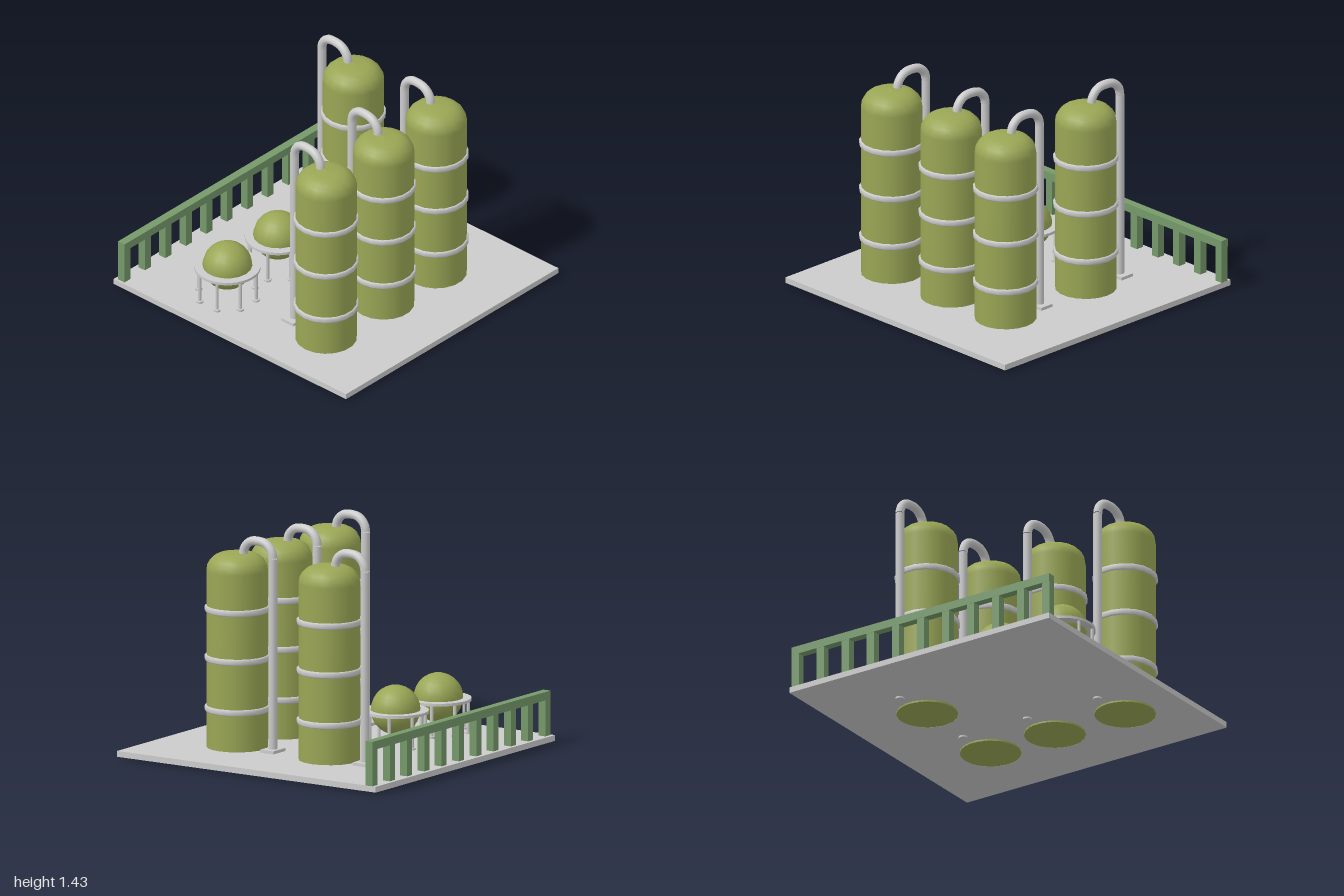
import * as THREE from 'three';

const mat = (color, side = THREE.FrontSide) => new THREE.MeshStandardMaterial({ color, side });
const grey = mat(0xcccccc);
const olive = mat(0x9aa655, THREE.DoubleSide);
const green = mat(0x76996a);

function add(parent, name, geometry, material, x = 0, y = 0, z = 0) {
  const mesh = new THREE.Mesh(geometry, material);
  mesh.name = name;
  mesh.position.set(x, y, z);
  parent.add(mesh);
  return mesh;
}

// Tall storage tank with domed top, hoops and an overflow pipe
function createTank(x, z) {
  const tank = new THREE.Group();
  tank.name = 'tank';
  tank.position.set(x, 0, z);
  const r = 0.197, corner = 0.12, top = 1.315;

  const profile = [new THREE.Vector2(r, 0), new THREE.Vector2(r, 0.6)];
  for (let i = 0; i <= 5; i++) {
    const a = (i / 5) * Math.PI / 2;
    profile.push(new THREE.Vector2(r - corner + corner * Math.cos(a), top - corner + (corner - 0.007) * Math.sin(a)));
  }
  profile.push(new THREE.Vector2(0, top));
  add(tank, 'tankBody', new THREE.LatheGeometry(profile, 18), olive);
  add(tank, 'tankBottom', new THREE.CircleGeometry(r, 18).rotateX(Math.PI / 2), olive, 0, 0.001, 0);

  // Hoops: rounded bands around the body
  const band = [[0.19, -0.02], [0.202, -0.02], [0.209, -0.011], [0.209, 0.011], [0.202, 0.02], [0.19, 0.02]]
    .map(([px, py]) => new THREE.Vector2(px, py));
  for (const y of [0.303, 0.631, 0.948]) add(tank, 'hoop', new THREE.LatheGeometry(band, 18), grey, 0, y, 0);

  // Pipe: riser, bend over the dome, and foot plate
  const x0 = -0.286, x1 = -0.048, z0 = -0.016, z1 = -0.002, bend = 0.1, yb = 1.302;
  const points = [];
  for (let i = 0; i <= 5; i++) {
    const a = (i / 5) * Math.PI / 2;
    points.push([x0 + bend * (1 - Math.cos(a)), yb + bend * Math.sin(a)]);
  }
  for (let i = 0; i <= 5; i++) {
    const a = (i / 5) * Math.PI / 2;
    points.push([x1 - bend * (1 - Math.sin(a)), yb + bend * Math.cos(a)]);
  }
  const path = new THREE.CatmullRomCurve3(points.map(([px, py]) =>
    new THREE.Vector3(px, py, z0 + (z1 - z0) * (px - x0) / (x1 - x0))));
  add(tank, 'pipeBend', new THREE.TubeGeometry(path, 20, 0.029, 12), grey);
  add(tank, 'pipeRiser', new THREE.CylinderGeometry(0.029, 0.029, yb, 12), grey, x0, yb / 2, z0);
  add(tank, 'pipeFoot', new THREE.BoxGeometry(0.1, 0.022, 0.134), grey, x0, 0.059, z0);
  return tank;
}

// Spherical vessel carried by a round walkway on eight legs
function createSphereTank(x, z) {
  const vessel = new THREE.Group();
  vessel.name = 'sphereTank';
  vessel.position.set(x, 0, z);
  add(vessel, 'sphere', new THREE.SphereGeometry(0.159, 18, 14), olive, 0, 0.278, 0);
  const ring = new THREE.Shape().absarc(0, 0, 0.212, 0, Math.PI * 2);
  ring.holes.push(new THREE.Path().absarc(0, 0, 0.145, 0, Math.PI * 2, true));
  const ringGeometry = new THREE.ExtrudeGeometry(ring, { depth: 0.018, bevelEnabled: false, curveSegments: 18 });
  add(vessel, 'walkway', ringGeometry.rotateX(-Math.PI / 2), grey, 0, 0.259, 0);
  for (let i = 0; i < 8; i++) {
    const a = (i + 0.5) * Math.PI / 4;
    const lx = 0.194 * Math.cos(a), lz = 0.194 * Math.sin(a);
    add(vessel, 'leg', new THREE.CylinderGeometry(0.011, 0.011, 0.22, 8), grey, lx, 0.16, lz);
    add(vessel, 'legFoot', new THREE.CylinderGeometry(0.024, 0.024, 0.014, 10), grey, lx, 0.056, lz);
  }
  return vessel;
}

export function createModel() {
  const model = new THREE.Group();
  model.name = 'tankYard';

  add(model, 'basePlate', new THREE.BoxGeometry(2, 0.038, 2), grey, 0, 0.031, 0);

  for (const [x, z] of [[-0.257, -0.445], [0.455, -0.445], [0.455, 0.05], [0.455, 0.591]]) {
    model.add(createTank(x, z));
  }
  for (const z of [0.174, 0.651]) model.add(createSphereTank(-0.34, z));

  // Fence along the right-hand edge
  const fence = new THREE.Group();
  fence.name = 'fence';
  fence.position.x = -0.948;
  add(fence, 'rail', new THREE.BoxGeometry(0.056, 0.054, 1.985), green, 0, 0.311, -0.007);
  for (let i = 0; i < 11; i++) {
    add(fence, 'post', new THREE.BoxGeometry(0.054, 0.245, 0.056), green, 0, 0.1675, 0.957 - i * 0.1928);
  }
  model.add(fence);
  return model;
}
